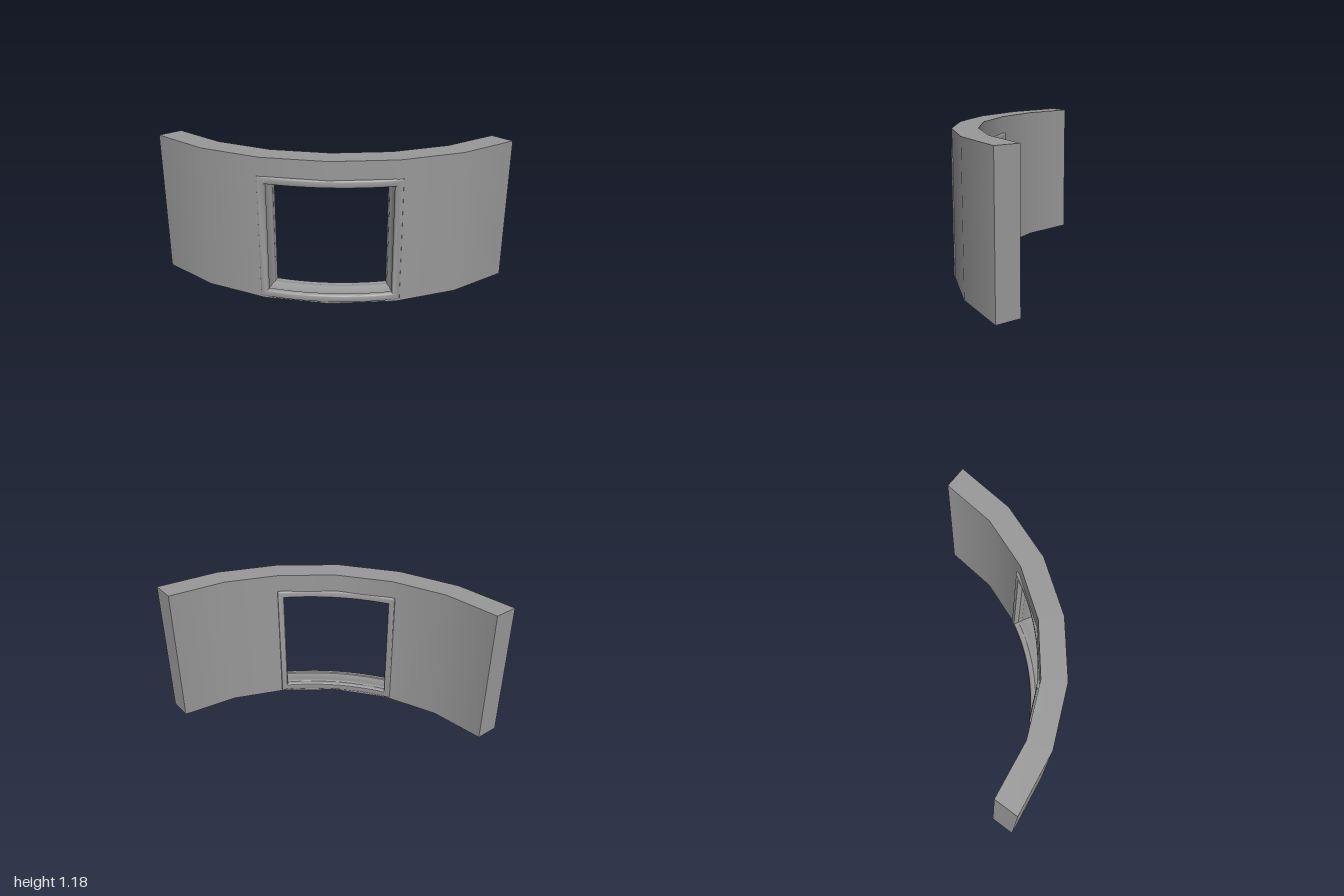
import * as THREE from 'three';
import { toCreasedNormals } from 'three/addons/utils/BufferGeometryUtils.js';

const RAD = Math.PI / 180;
const HEIGHT = 1.177, OUTER = 2, INNER = 1.8, STEP = 15;

// Point on the quarter ring, whose centre is at x = -1, z = -1 (angle in degrees)
const ringPoint = (a, r, y) => [-1 + r * Math.sin(a * RAD), y, -1 + r * Math.cos(a * RAD)];

// Curved wall of six straight-sided panels with an opening in the middle two
function wallGeometry() {
  const pos = [], nor = [];
  const quad = (corners, normals) => {
    for (const i of [0, 1, 2, 0, 2, 3]) {
      pos.push(...ringPoint(...corners[i]));
      nor.push(...normals[i]);
    }
  };
  const same = (n) => [n, n, n, n];
  const radial = (a, s) => [s * Math.sin(a * RAD), 0, s * Math.cos(a * RAD)];

  // Long faces, top and bottom of one panel, shaded smoothly around the bend
  const panel = (a, b, y0, y1) => {
    const oa = radial(a, 1), ob = radial(b, 1), ia = radial(a, -1), ib = radial(b, -1);
    quad([[a, OUTER, y0], [b, OUTER, y0], [b, OUTER, y1], [a, OUTER, y1]], [oa, ob, ob, oa]);
    quad([[b, INNER, y0], [a, INNER, y0], [a, INNER, y1], [b, INNER, y1]], [ib, ia, ia, ib]);
    quad([[a, OUTER, y1], [b, OUTER, y1], [b, INNER, y1], [a, INNER, y1]], same([0, 1, 0]));
    quad([[a, INNER, y0], [b, INNER, y0], [b, OUTER, y0], [a, OUTER, y0]], same([0, -1, 0]));
  };
  // Flat cut across the wall, facing along (+1) or against (-1) the angle
  const cut = (a, y0, y1, dir) => {
    const [r0, r1] = dir > 0 ? [OUTER, INNER] : [INNER, OUTER];
    quad([[a, r0, y0], [a, r1, y0], [a, r1, y1], [a, r0, y1]],
      same([dir * Math.cos(a * RAD), 0, -dir * Math.sin(a * RAD)]));
  };

  const holeBottom = 0.055, holeTop = 0.99;
  for (let a = 0; a < 90; a += STEP) {
    if (a >= 30 && a < 60) {
      panel(a, a + STEP, 0, holeBottom);
      panel(a, a + STEP, holeTop, HEIGHT);
    } else {
      panel(a, a + STEP, 0, HEIGHT);
    }
  }
  cut(0, 0, HEIGHT, -1);
  cut(90, 0, HEIGHT, 1);
  cut(30, holeBottom, holeTop, 1);
  cut(60, holeBottom, holeTop, -1);

  const g = new THREE.BufferGeometry();
  g.setAttribute('position', new THREE.Float32BufferAttribute(pos, 3));
  g.setAttribute('normal', new THREE.Float32BufferAttribute(nor, 3));
  return g;
}

// Moulded frame: a profile swept round the opening with mitred corners
function frameGeometry() {
  // [distance outward from the opening, radius], from the front casing to the back casing
  const profile = [
    [0.062, 1.9], [0.062, 1.996], [0.058, 2.004], [0.05, 2.007], [0.016, 2.007],
    [0.007, 2.003], [0.002, 1.992], [0.002, 1.968], [0.009, 1.962], [0.009, 1.868],
    [0.001, 1.858], [0.001, 1.832], [0.006, 1.826], [0, 1.806], [0.002, 1.792],
    [0.01, 1.782], [0.05, 1.78], [0.058, 1.784], [0.062, 1.793], [0.062, 1.9],
  ];
  const halfAngle = 14.15, y0 = 0.077, y1 = 0.967, n = 14;

  // Path round the opening: sill, right corner, head, left corner
  const path = [];
  for (let i = 0; i <= n; i++) path.push([-1 + 2 * i / n, -1]);
  for (let i = 0; i <= n; i++) path.push([1 - 2 * i / n, 1]);

  const pos = [], index = [], m = profile.length;
  for (const [s, t] of path) {
    for (const [d, r] of profile) {
      const angle = 45 + s * (halfAngle + d / 1.95 / RAD);
      pos.push(...ringPoint(angle, r, t < 0 ? y0 - d : y1 + d));
    }
  }
  for (let i = 0; i < path.length; i++) {
    const j = (i + 1) % path.length;
    for (let k = 0; k < m - 1; k++) {
      const a = i * m + k, b = j * m + k;
      index.push(a, b, b + 1, a, b + 1, a + 1);
    }
  }
  const g = new THREE.BufferGeometry();
  g.setAttribute('position', new THREE.Float32BufferAttribute(pos, 3));
  g.setIndex(index);
  return toCreasedNormals(g, 45 * RAD);
}

export function createModel() {
  const group = new THREE.Group();
  group.name = 'curvedWallWithWindow';
  const material = new THREE.MeshStandardMaterial({ color: 0x999999 });
  const add = (name, geometry) => {
    const mesh = new THREE.Mesh(geometry, material);
    mesh.name = name;
    group.add(mesh);
  };
  add('wall', wallGeometry());
  add('windowFrame', frameGeometry());
  return group;
}
